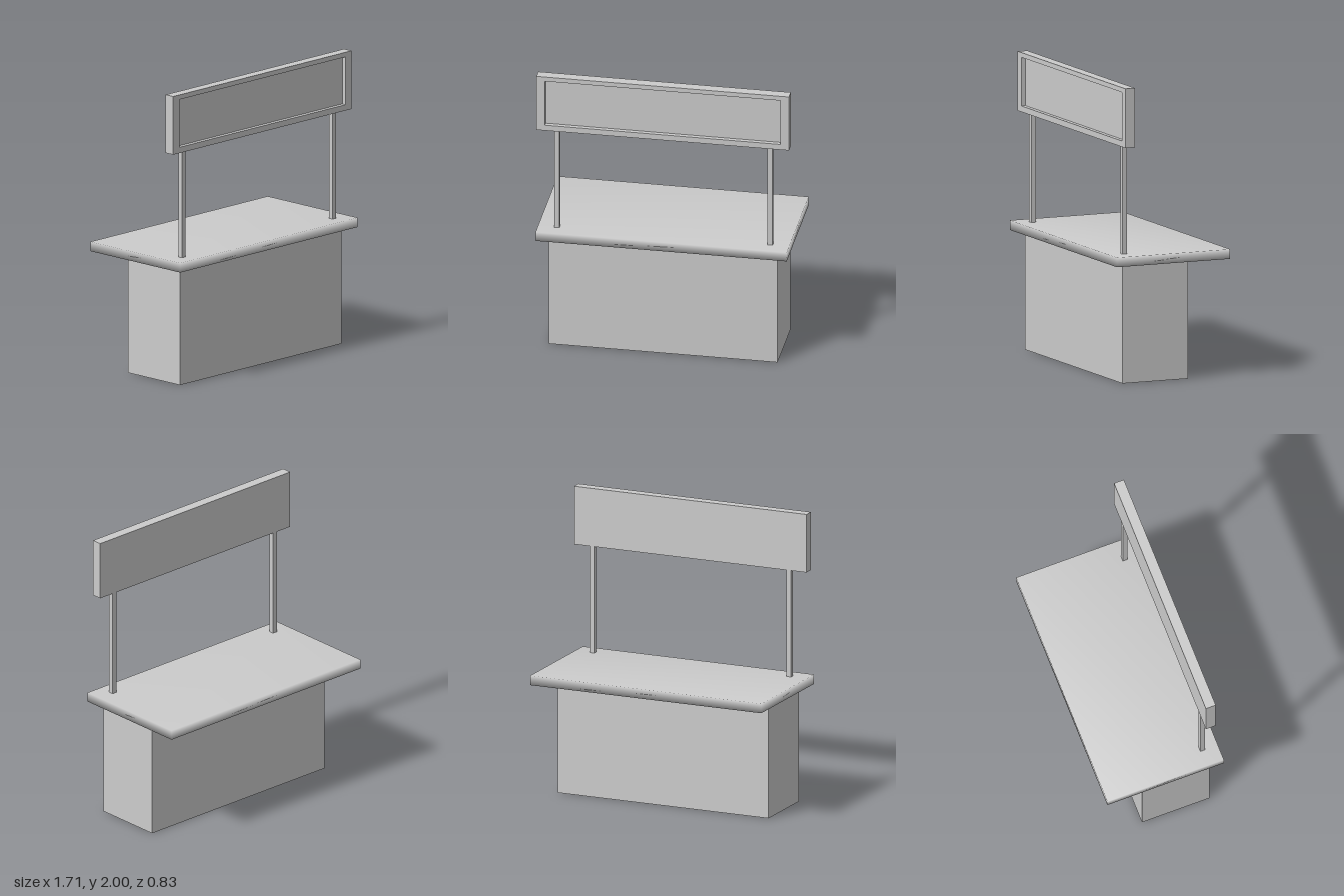
import * as THREE from 'three';
import { mergeVertices } from 'three/addons/utils/BufferGeometryUtils.js';

const grey = new THREE.MeshStandardMaterial({ color: 0xcccccc });

function addPart(parent, name, geometry, x, y, z) {
  const mesh = new THREE.Mesh(geometry, grey);
  mesh.name = name;
  mesh.position.set(x, y, z);
  parent.add(mesh);
  return mesh;
}

// Box whose corners share area-weighted normals, so its thin rim shades softly
function softBox(w, h, d) {
  const box = new THREE.BoxGeometry(w, h, d);
  box.deleteAttribute('normal');
  box.deleteAttribute('uv');
  const soft = mergeVertices(box);
  soft.computeVertexNormals();
  return soft;
}

function rectangle(PathType, x0, y0, x1, y1) {
  return new PathType([[x0, y0], [x1, y0], [x1, y1], [x0, y1]].map(([x, y]) => new THREE.Vector2(x, y)));
}

export function createModel() {
  const stall = new THREE.Group();
  stall.name = 'marketStall';

  // Cabinet and overhanging worktop
  addPart(stall, 'cabinet', new THREE.BoxGeometry(1.55, 0.8, 0.48), 0, 0.4, 0.1);
  addPart(stall, 'worktop', softBox(1.7, 0.065, 0.83), 0, 0.8325, 0);

  // Two square posts carrying the sign
  for (const [name, side] of [['leftPost', 1], ['rightPost', -1]]) {
    addPart(stall, name, new THREE.BoxGeometry(0.034, 0.737, 0.034), side * 0.722, 1.2325, 0.307);
  }

  // Sign board: solid back with a raised frame around a recessed panel
  const sign = new THREE.Group();
  sign.name = 'sign';
  stall.add(sign);
  addPart(sign, 'signBack', new THREE.BoxGeometry(1.71, 0.4, 0.04), 0, 1.8, 0.305);
  const frame = rectangle(THREE.Shape, -0.855, 1.6, 0.855, 2);
  frame.holes.push(rectangle(THREE.Path, -0.797, 1.64, 0.797, 1.968));
  addPart(sign, 'signFrame', new THREE.ExtrudeGeometry(frame, { depth: 0.03, bevelEnabled: false }), 0, 0, 0.325);

  return stall;
}
